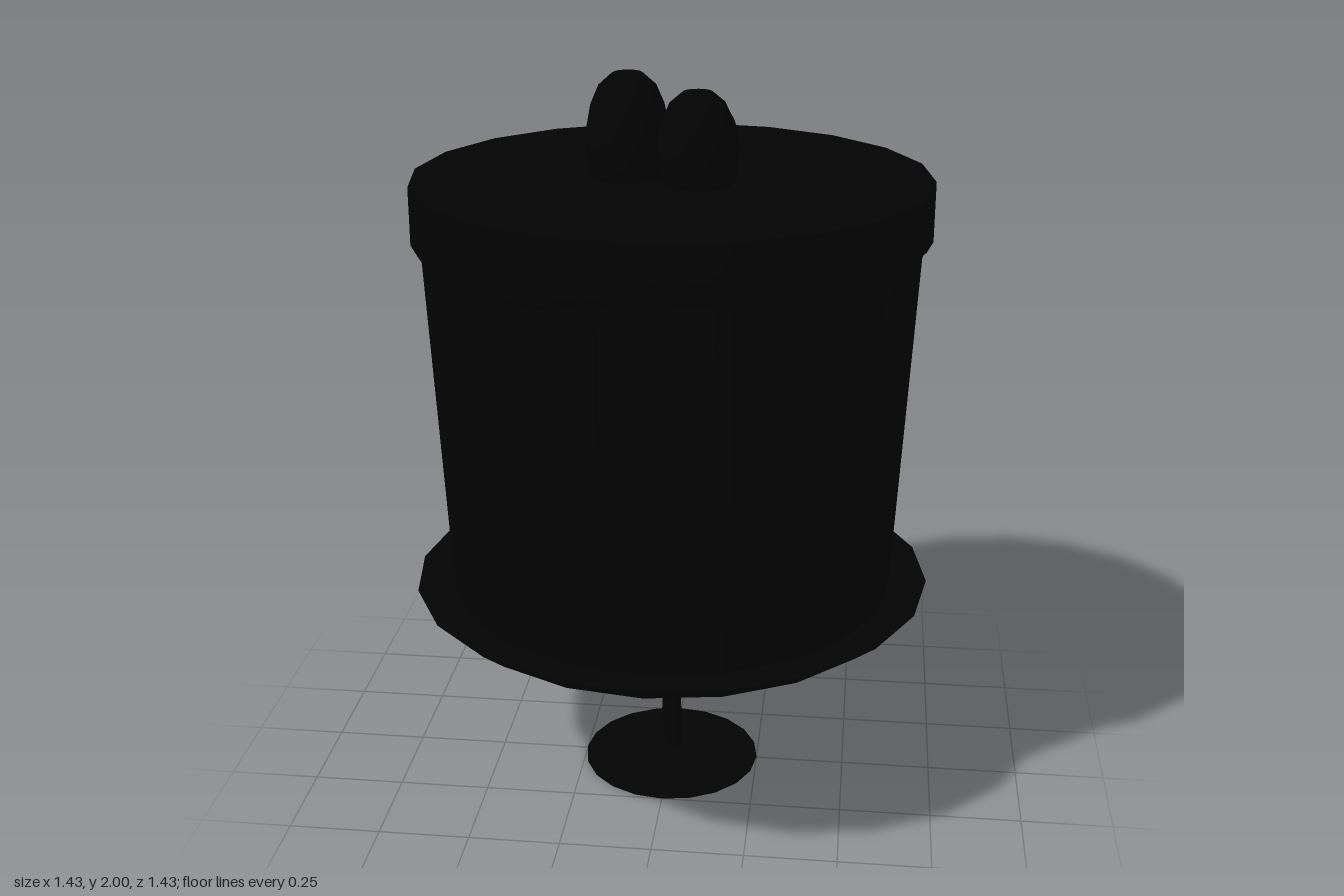
import * as THREE from 'three';
import { toCreasedNormals } from 'three/addons/utils/BufferGeometryUtils.js';

const SIDES = 20;
const BODY_BOTTOM = 0.58, BODY_TOP = 1.62;
const bodyRadius = (y) => 0.61 + (y - 0.6) * 0.05;

function lathe(points, segments) {
  return new THREE.LatheGeometry(points.map(([r, y]) => new THREE.Vector2(r, y)), segments);
}

// Height of the wavy lower edge of the icing around the cake
const icingEdge = (a) =>
  1.552 + 0.015 * Math.cos(2 * a - 0.4) + 0.01 * Math.sin(5 * a + 1.2) + 0.007 * Math.cos(9 * a);

// Icing cap: follows the cake's polygon outline, its lower edge moved up and down
function icingGeometry() {
  const edge = 1.55;
  const geo = lathe([[0.6, edge], [0.667, edge], [0.683, edge + 0.03], [0.683, 1.73], [0, 1.73]], SIDES * 4);
  const pos = geo.attributes.position;
  const step = (Math.PI * 2) / SIDES;
  for (let i = 0; i < pos.count; i++) {
    const x = pos.getX(i), y = pos.getY(i), z = pos.getZ(i);
    const a = Math.atan2(x, z) + Math.PI * 2;
    const k = Math.cos(step / 2) / Math.cos((a % step) - step / 2);
    const lift = y < 1.6 ? icingEdge(a) - edge : 0;
    pos.setXYZ(i, x * k, y + lift, z * k);
  }
  return toCreasedNormals(geo, 0.6);
}

// One running drip: a thin strand that ends in a rounded bulb
function dripGeometry(length, width) {
  const w = width / 2;
  return lathe([
    [0, -length], [w * 0.7, -length + w * 0.3], [w * 1.05, -length + w],
    [w * 0.85, -length + w * 2.4], [w * 0.9, -length * 0.3], [w * 1.3, 0],
  ], 12);
}

export function createModel() {
  const group = new THREE.Group();
  const material = new THREE.MeshStandardMaterial({ color: 0x030303 });
  const add = (name, geometry, parent = group) => {
    const mesh = new THREE.Mesh(geometry, material);
    mesh.name = name;
    parent.add(mesh);
    return mesh;
  };

  // Cake stand
  add('standFoot', toCreasedNormals(lathe([[0, 0], [0.25, 0], [0.25, 0.005], [0.03, 0.036], [0, 0.036]], SIDES), 0.3));
  add('standStem', lathe([[0.034, 0.03], [0.029, 0.08], [0.026, 0.29], [0.03, 0.55]], 12));
  add('standPlate', toCreasedNormals(
    lathe([[0, 0.545], [0.645, 0.545], [0.713, 0.6], [0.64, 0.59], [0, 0.59]], SIDES), 0.35));

  // Cake, widening slightly towards the top
  add('cakeBody', lathe([[bodyRadius(BODY_BOTTOM), BODY_BOTTOM], [bodyRadius(BODY_TOP), BODY_TOP]], SIDES));
  add('icing', icingGeometry());

  // Drips: angle from the front in degrees, lower end, width
  const drips = new THREE.Group();
  drips.name = 'icingDrips';
  group.add(drips);
  const dripList = [
    [-11, 1.19, 0.05], [-60, 1.43, 0.035], [15, 1.42, 0.035], [62, 1.43, 0.03],
    [118, 1.48, 0.035], [165, 1.29, 0.045], [194, 1.19, 0.055], [240, 1.4, 0.04],
  ];
  for (const [degrees, end, width] of dripList) {
    const top = 1.58;
    const arm = new THREE.Group();
    arm.name = 'drip';
    arm.rotation.y = THREE.MathUtils.degToRad(degrees);
    drips.add(arm);
    const drip = add('dripStrand', dripGeometry(top - end, width), arm);
    drip.position.set(0, top, bodyRadius(top) * 0.991);
    drip.rotation.x = 0.05;
    drip.scale.z = 0.6;
  }

  // Berries on top: centre x, centre z, radius x, radius z, top
  const berryProfile = [
    [0, 0], [0.7, 0.03], [0.92, 0.13], [1, 0.32], [0.98, 0.5],
    [0.88, 0.7], [0.68, 0.87], [0.36, 0.975], [0, 1],
  ];
  const berries = [
    [-0.115, 0, 0.11, 0.14, 2.0],
    [0.075, 0.08, 0.105, 0.108, 1.97],
    [0.06, -0.105, 0.108, 0.1, 1.92],
  ];
  for (const [x, z, rx, rz, top] of berries) {
    const berry = add('berry', lathe(berryProfile, 20));
    berry.position.set(x, 1.7, z);
    berry.scale.set(rx, top - 1.7, rz);
  }
  return group;
}
